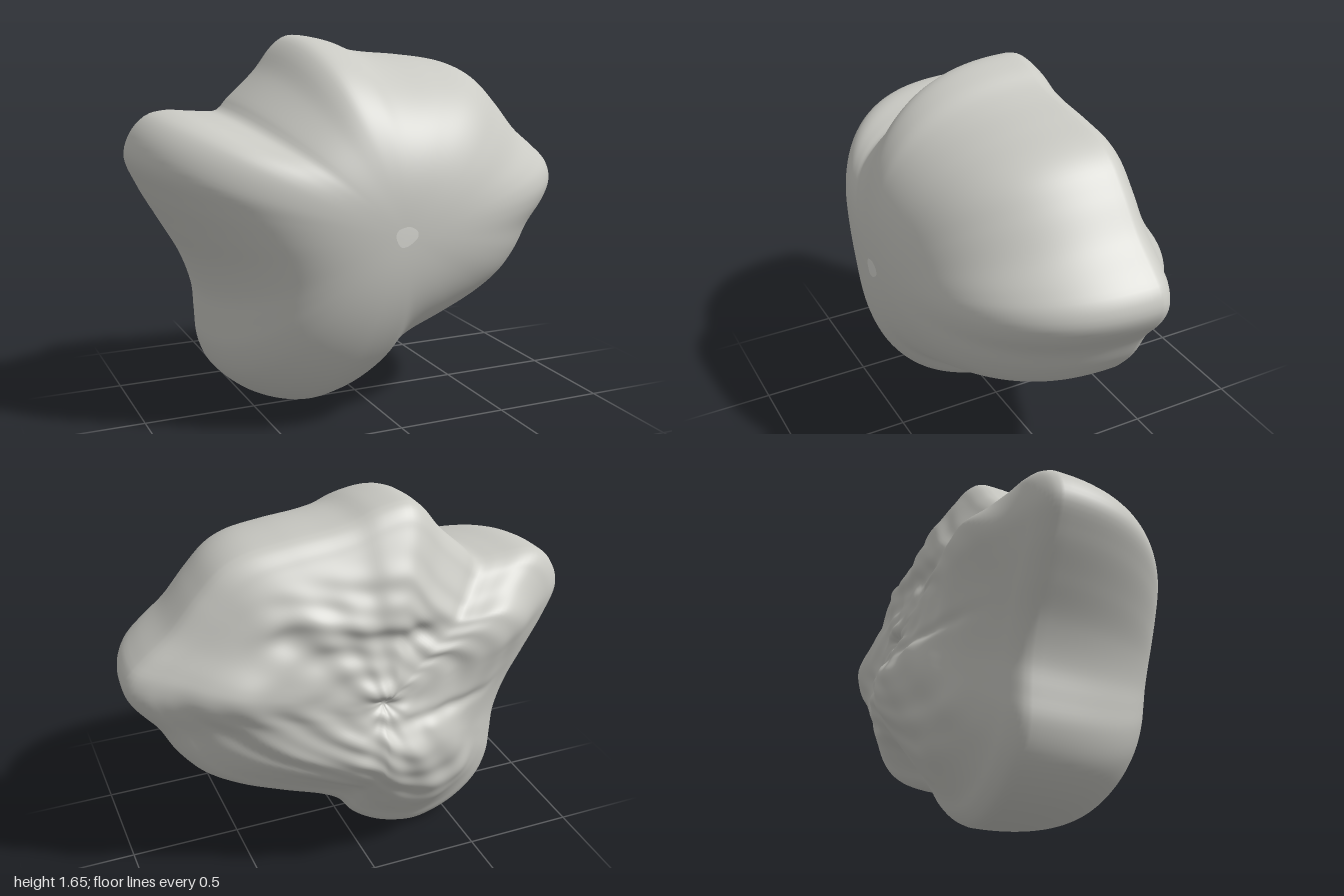
import * as THREE from 'three';

// Outline of the widest section, clockwise from the top peak
const OUTLINE = [
  [-0.22, 1.65], [-0.1, 1.63], [0, 1.59], [0.1, 1.57], [0.3, 1.55], [0.48, 1.52], [0.58, 1.47],
  [0.68, 1.37], [0.8, 1.23], [0.92, 1.13], [0.98, 1.07], [1, 1], [0.97, 0.92], [0.87, 0.79],
  [0.8, 0.66], [0.7, 0.54], [0.55, 0.44], [0.35, 0.35], [0.15, 0.27], [0.07, 0.22], [0, 0.13],
  [-0.1, 0.06], [-0.2, 0.02], [-0.32, 0], [-0.45, 0.03], [-0.56, 0.09], [-0.65, 0.18], [-0.7, 0.3],
  [-0.71, 0.42], [-0.72, 0.55], [-0.77, 0.7], [-0.86, 0.86], [-0.95, 1.02], [-1, 1.15],
  [-0.97, 1.25], [-0.9, 1.32], [-0.82, 1.34], [-0.68, 1.33], [-0.58, 1.33], [-0.53, 1.38],
  [-0.4, 1.5], [-0.32, 1.6], [-0.27, 1.64],
];
// Back profile: scale of the outline, z
const BACK = [[1, -0.2], [0.985, -0.24], [0.94, -0.28], [0.88, -0.31], [0.78, -0.36], [0.66, -0.41],
  [0.54, -0.45], [0.4, -0.465], [0.2, -0.475], [0.02, -0.48]];

const CX = -0.03, CY = 0.87, SEG = 220, FRONT = 48, REAR = 64;
const { smoothstep, lerp } = THREE.MathUtils;
const curve = (pts, closed) => new THREE.CatmullRomCurve3(pts.map(([a, b]) => new THREE.Vector3(a, b, 0)), closed);
const bump = (x, y, bx, by, rx, ry) => Math.exp(-(((x - bx) / rx) ** 2) - ((y - by) / ry) ** 2);

// Running mean of a closed outline, enlarged to make up for the shrinking
function soften(points, reach, grow) {
  const n = points.length;
  return points.map((_, j) => {
    const p = new THREE.Vector3();
    for (let k = -reach; k <= reach; k++) p.add(points[(j + k + n) % n]);
    p.divideScalar(2 * reach + 1);
    return p.set(CX + (p.x - CX) * grow, CY + (p.y - CY) * grow, 0);
  });
}

// Relief of the weathered back; positive values stand out
function relief(x, y, s) {
  const fade = smoothstep(1 - s, 0.1, 0.36);
  const warp = 1.6 * Math.sin(3.1 * x + 2 * y) + 1.1 * Math.sin(5.3 * y - 2.4 * x);
  const a = Math.atan2(y - CY, x - CX);
  const folds = 0.004 * Math.sin(24 * s + 2 * warp + Math.sin(3 * a))
    + 0.004 * Math.sin(9 * a + 2.5 * warp) * Math.min(1, s * 4)
    + 0.003 * Math.sin(42 * s + 3 * warp + 2 * a);
  return fade * (folds
    + 0.125 * bump(x, y, -0.06, 0.62, 0.34, 0.21)  // lower swelling
    + 0.05 * bump(x, y, -0.32, 0.28, 0.25, 0.2)    // foot
    + 0.045 * bump(x, y, -0.62, 1.12, 0.2, 0.16)   // shoulders
    + 0.045 * bump(x, y, 0.6, 1.02, 0.2, 0.14)
    + 0.03 * bump(x, y, 0, 0.94, 0.12, 0.06)       // knob over the pit
    - 0.04 * bump(x, y, -0.03, 0.87, 0.05, 0.03)   // pit
    - 0.035 * bump(x, y, 0.36, 1.2, 0.09, 0.06)    // upper hollows
    - 0.035 * bump(x, y, -0.22, 1.14, 0.1, 0.05)
    - 0.02 * bump(x, y, 0.08, 1.12, 0.3, 0.06)
    - 0.02 * bump(x, y, -0.3, 0.78, 0.25, 0.03));  // side crease
}

export function createModel() {
  const outline = curve(OUTLINE, true).getSpacedPoints(SEG).slice(0, SEG);
  const rounded = soften(outline, 22, 1.09);
  const back = curve(BACK, false);

  // Rings from the front pole, over the full dome and rim, to the back pole
  const rings = [];
  for (let i = 1; i <= FRONT; i++) {
    const t = (i / FRONT) * Math.PI / 2;
    const s = Math.sin(t) ** (2 / 2.35), z = -0.2 + 0.795 * Math.cos(t) ** (2 / 2.35);
    rings.push({ s, z, rear: false });
  }
  for (let i = 1; i <= REAR; i++) {
    const p = back.getPointAt(i / REAR);
    rings.push({ s: p.x, z: p.y, rear: true });
  }

  const pos = [CX, CY, 0.595];
  for (const { s, z, rear } of rings) {
    // The lobes die away towards the front pole
    const lobes = rear ? 1 : smoothstep(s, 0.1, 0.95);
    for (let j = 0; j < SEG; j++) {
      const x = CX + (lerp(rounded[j].x, outline[j].x, lobes) - CX) * s;
      const y = CY + (lerp(rounded[j].y, outline[j].y, lobes) - CY) * s;
      pos.push(x, y, rear ? z - relief(x, y, s) : z);
    }
  }
  pos.push(CX, CY, -0.48 - relief(CX, CY, 0));

  const index = [];
  const at = (i, j) => 1 + i * SEG + (j % SEG);
  const last = pos.length / 3 - 1;
  for (let j = 0; j < SEG; j++) index.push(0, at(0, j + 1), at(0, j));
  for (let i = 0; i < rings.length - 1; i++) {
    for (let j = 0; j < SEG; j++) {
      const a = at(i, j), b = at(i, j + 1), c = at(i + 1, j), d = at(i + 1, j + 1);
      index.push(a, b, c, b, d, c);
    }
  }
  for (let j = 0; j < SEG; j++) index.push(last, at(rings.length - 1, j), at(rings.length - 1, j + 1));

  const geometry = new THREE.BufferGeometry();
  geometry.setAttribute('position', new THREE.Float32BufferAttribute(pos, 3));
  geometry.setIndex(index);
  geometry.computeVertexNormals();

  // The small worn spot at the front pole is paler than the stone
  const spot = SEG * 3;
  geometry.addGroup(0, spot, 1);
  geometry.addGroup(spot, index.length - spot, 0);

  const stone = new THREE.MeshStandardMaterial({ color: 0xcacac4 });
  stone.name = 'stone grey';
  const pale = new THREE.MeshStandardMaterial({ color: 0xdcdcd6 });
  pale.name = 'pale stone';

  const boulder = new THREE.Mesh(geometry, [stone, pale]);
  boulder.name = 'boulder';
  const group = new THREE.Group();
  group.name = 'rock';
  group.add(boulder);
  return group;
}
